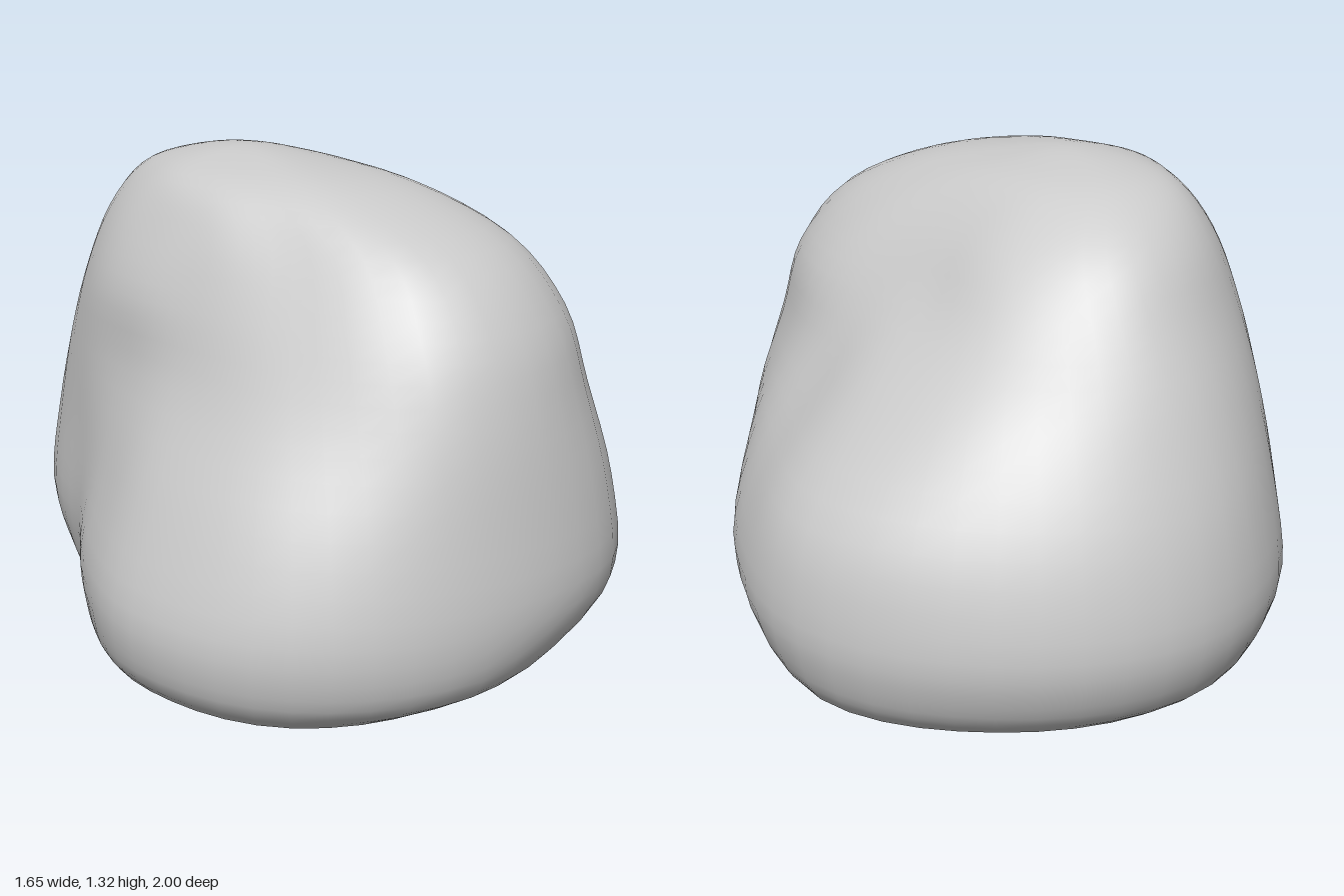
import * as THREE from 'three';

// Horizontal sections: height, centre x and z, then the radius every
// 30 degrees, starting at +x and turning towards +z.
const SECTIONS = [
  [0.00, -0.12, 0.03, [0.76, 0.66, 0.68, 0.81, 0.84, 0.73, 0.61, 0.57, 0.71, 0.88, 0.95, 0.96]],
  [0.08, -0.12, 0.03, [0.85, 0.76, 0.85, 0.93, 0.91, 0.79, 0.64, 0.60, 0.78, 0.97, 1.02, 1.01]],
  [0.25, -0.12, 0.03, [0.91, 0.86, 0.97, 0.97, 0.93, 0.80, 0.65, 0.62, 0.84, 1.02, 1.06, 1.04]],
  [0.50, -0.12, 0.03, [0.82, 0.82, 0.95, 0.94, 0.85, 0.69, 0.57, 0.60, 0.80, 0.97, 1.00, 0.98]],
  [0.75, -0.12, 0.03, [0.63, 0.71, 0.88, 0.89, 0.70, 0.54, 0.50, 0.58, 0.73, 0.85, 0.85, 0.75]],
  [0.95, -0.12, 0.03, [0.50, 0.64, 0.81, 0.81, 0.58, 0.47, 0.48, 0.55, 0.65, 0.72, 0.65, 0.51]],
  [1.12, -0.12, 0.03, [0.37, 0.48, 0.66, 0.66, 0.46, 0.40, 0.41, 0.48, 0.57, 0.60, 0.48, 0.37]],
  [1.24, -0.17, -0.02, [0.27, 0.33, 0.46, 0.44, 0.33, 0.29, 0.29, 0.32, 0.39, 0.39, 0.32, 0.27]],
  [1.295, -0.20, -0.05, [0.14, 0.16, 0.21, 0.22, 0.16, 0.14, 0.15, 0.17, 0.20, 0.20, 0.16, 0.14]],
];
const TIP = [-0.20, 1.318, -0.05];
const SEGMENTS = 60, STEPS = 4;

// Smooth curve through b and c
function spline(a, b, c, d, t) {
  return b + 0.5 * t * (c - a + t * (2 * a - 5 * b + 4 * c - d + t * (3 * (b - c) + d - a)));
}

// Point on one section at any angle
function pointOn([y, cx, cz, radii], angle) {
  const n = radii.length;
  const f = (angle / (Math.PI * 2)) * n;
  const i = Math.floor(f);
  const at = (k) => radii[(k + n) % n];
  const r = spline(at(i - 1), at(i), at(i + 1), at(i + 2), f - i);
  return [cx + r * Math.cos(angle), y, cz + r * Math.sin(angle)];
}

// Point by section index, passing through the tip and over to the far side
function controlPoint(k, angle) {
  const last = SECTIONS.length;
  if (k === last) return TIP;
  if (k > last) return pointOn(SECTIONS[last - 1], (angle + Math.PI) % (Math.PI * 2));
  return pointOn(SECTIONS[Math.max(k, 0)], angle);
}

// Rounded body skinned over the sections
function bodyGeometry() {
  const positions = [], index = [];
  const rows = SECTIONS.length * STEPS;
  for (let row = 0; row < rows; row++) {
    const k = Math.floor(row / STEPS), t = (row % STEPS) / STEPS;
    for (let s = 0; s < SEGMENTS; s++) {
      const angle = (s / SEGMENTS) * Math.PI * 2;
      const p = [-1, 0, 1, 2].map((o) => controlPoint(k + o, angle));
      for (let c = 0; c < 3; c++) positions.push(spline(p[0][c], p[1][c], p[2][c], p[3][c], t));
    }
  }
  // Single tip vertex
  const tip = positions.length / 3;
  positions.push(...TIP);

  for (let row = 0; row < rows; row++) {
    for (let s = 0; s < SEGMENTS; s++) {
      const n = (s + 1) % SEGMENTS;
      const a = row * SEGMENTS + s, b = row * SEGMENTS + n;
      if (row === rows - 1) index.push(a, tip, b);
      else index.push(a, a + SEGMENTS, b, b, a + SEGMENTS, b + SEGMENTS);
    }
  }
  const geometry = new THREE.BufferGeometry();
  geometry.setAttribute('position', new THREE.Float32BufferAttribute(positions, 3));
  geometry.setIndex(index);
  geometry.computeVertexNormals();
  return geometry;
}

// Flat underside following the lowest section
function baseGeometry() {
  const points = [];
  for (let s = 0; s < SEGMENTS; s++) {
    const [x, , z] = pointOn(SECTIONS[0], (s / SEGMENTS) * Math.PI * 2);
    points.push(new THREE.Vector2(x, z));
  }
  return new THREE.ShapeGeometry(new THREE.Shape(points)).rotateX(Math.PI / 2);
}

export function createModel() {
  const grey = new THREE.MeshStandardMaterial({ color: 0xcacaca });
  grey.name = 'stone grey';

  const model = new THREE.Group();
  model.name = 'boulder';

  const body = new THREE.Mesh(bodyGeometry(), grey);
  body.name = 'boulderBody';
  const base = new THREE.Mesh(baseGeometry(), grey);
  base.name = 'flatBase';
  model.add(body, base);
  return model;
}
